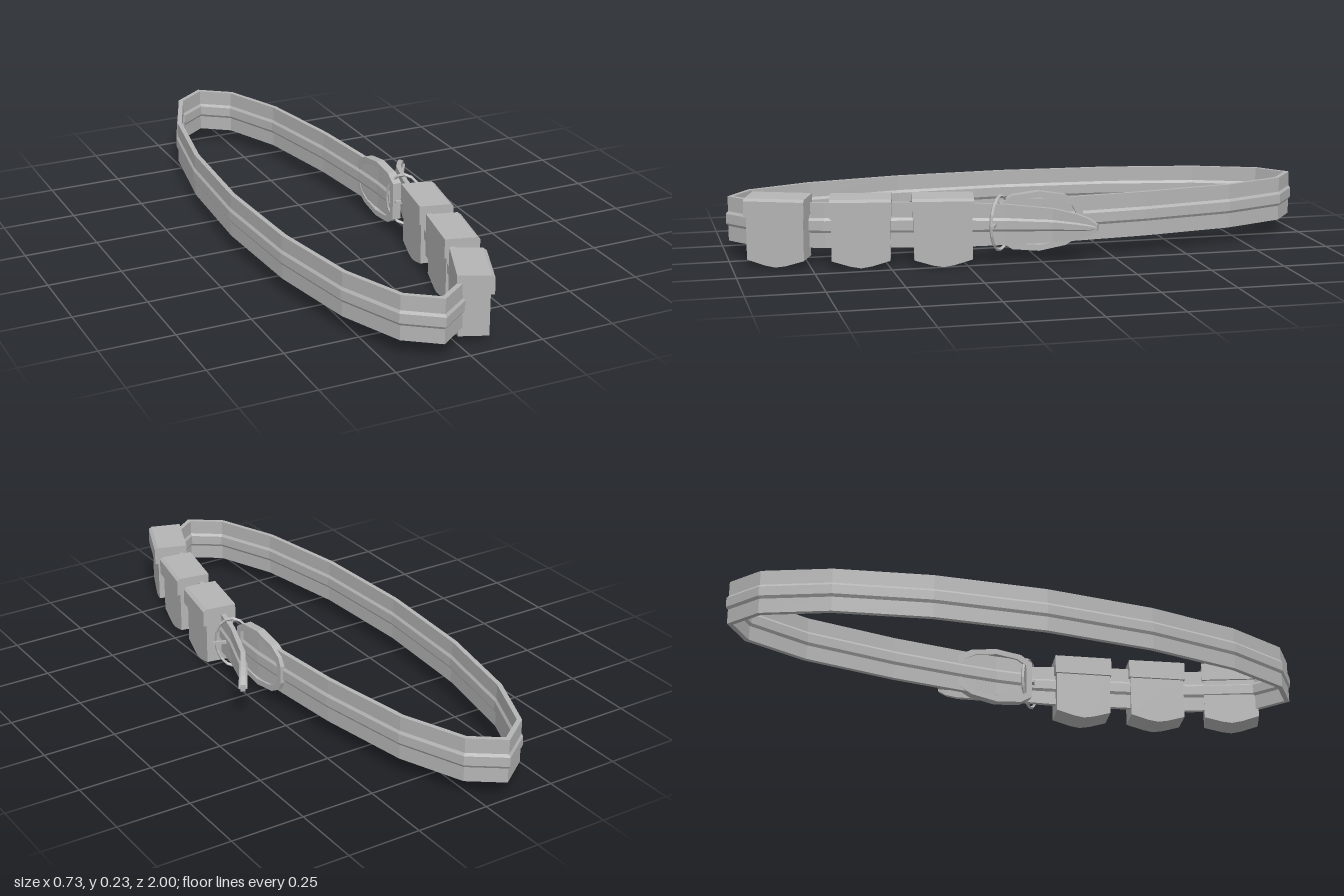
import * as THREE from 'three';

const MID = 0.13; // height of the strap's centre line

// Sweep a (outward, up) section along plan points [x, z, heightScale]
function sweep(path, section) {
  const n = section.length;
  const pos = [];
  const dir = (a, b) => new THREE.Vector2(b[0] - a[0], b[1] - a[1]).normalize();
  const rings = path.map((p, i) => {
    const d0 = dir(path[Math.max(i - 1, 0)], path[Math.max(i, 1)]);
    const last = path.length - 1;
    const d1 = dir(path[Math.min(i, last - 1)], path[Math.min(i + 1, last)]);
    const t = d0.clone().add(d1).normalize();
    const miter = 1 / Math.max(t.dot(d1), 0.5);
    return section.map(([o, y]) => [p[0] - t.y * o * miter, MID + y * p[2], p[1] + t.x * o * miter]);
  });
  for (let i = 0; i < rings.length - 1; i++) {
    for (let j = 0; j < n; j++) {
      const k = (j + 1) % n;
      const a = rings[i][j], b = rings[i][k], c = rings[i + 1][k], d = rings[i + 1][j];
      pos.push(...a, ...d, ...c, ...a, ...c, ...b);
    }
  }
  const cap = (p, ring, flip) => {
    const centre = [p[0], MID, p[1]];
    for (let j = 0; j < n; j++) {
      const a = ring[j], b = ring[(j + 1) % n];
      pos.push(...centre, ...(flip ? b : a), ...(flip ? a : b));
    }
  };
  cap(path[0], rings[0], false);
  cap(path[path.length - 1], rings[rings.length - 1], true);
  const g = new THREE.BufferGeometry();
  g.setAttribute('position', new THREE.Float32BufferAttribute(pos, 3));
  g.computeVertexNormals();
  return g;
}

function polygon(points) {
  return new THREE.Shape(points.map(([x, y]) => new THREE.Vector2(x, y)));
}

export function createModel() {
  const model = new THREE.Group();
  const grey = new THREE.MeshStandardMaterial({ color: 0xb4b4b4, flatShading: true });
  grey.name = 'grey leather';
  const add = (parent, geometry, name) => {
    const mesh = new THREE.Mesh(geometry, grey);
    mesh.name = name;
    parent.add(mesh);
    return mesh;
  };

  // Strap: buckle end, round the oval loop, then the free tongue
  const path = [[0.193, 0.1, 1], [0.195, 0, 1], [0.187, -0.13, 1]];
  for (let k = 1; k <= 14; k++) {
    const t = -k * Math.PI / 8;
    path.push([-0.085 + 0.267 * Math.cos(t), 0.982 * Math.sin(t), 1]);
  }
  path.push(
    [0.155, 0.45, 1], [0.202, 0.25, 0.97], [0.23, 0.12, 0.9], [0.28, -0.03, 0.74],
    [0.322, -0.1, 0.56], [0.343, -0.135, 0.38], [0.357, -0.158, 0.15]
  );
  // Flat band with a raised rib along the middle of both faces
  const half = [[0.008, -0.075], [0.008, -0.025], [0.014, -0.016], [0.014, 0.016], [0.008, 0.025], [0.008, 0.075]];
  const section = [...half, ...half.map(([o, y]) => [-o, -y])];
  add(model, sweep(path, section), 'strap');

  // Buckle frame: tapered octagonal surround
  const buckle = new THREE.Group();
  buckle.name = 'buckle';
  model.add(buckle);
  const upper = [[0.15, 0.03], [0.135, 0.06], [0.09, 0.085], [0, 0.1], [-0.09, 0.09], [-0.13, 0.065]];
  const outline = [...upper, ...upper.map(([u, v]) => [u, -v]).reverse()];
  const frame = polygon(outline);
  frame.holes.push(polygon(outline.map(([u, v]) => [u * 0.84, v * 0.8]).reverse()));
  const frameMesh = add(buckle, new THREE.ExtrudeGeometry(frame, { depth: 0.03, bevelEnabled: false }), 'buckleFrame');
  frameMesh.rotation.y = Math.PI / 2;
  frameMesh.position.set(0.178, MID, 0);

  // Slanted keeper ring and its prong
  const ring = add(buckle, new THREE.TorusGeometry(0.09, 0.006, 4, 16), 'keeperRing');
  ring.scale.x = 0.7;
  ring.rotation.y = -0.73;
  ring.position.set(0.22, 0.134, 0.135);
  const prong = add(buckle, new THREE.BoxGeometry(0.1, 0.01, 0.01), 'prong');
  prong.rotation.y = -0.4;
  prong.position.set(0.232, MID, 0.155);

  // Pouches: pointed-bottom body under a bevelled lid
  const bodyShape = polygon([[-0.095, 0.2], [-0.095, 0.026], [-0.035, 0.008], [0, 0.002], [0.035, 0.008], [0.095, 0.026], [0.095, 0.2]]);
  const body = new THREE.ExtrudeGeometry(bodyShape, { depth: 0.096, bevelEnabled: false });
  body.rotateY(Math.PI / 2).translate(-0.05, 0, 0);
  const lidShape = polygon([[-0.058, 0.167], [0.058, 0.167], [0.058, 0.221], [0.047, 0.229], [-0.058, 0.232]]);
  const lid = new THREE.ExtrudeGeometry(lidShape, { depth: 0.2, bevelEnabled: false });
  lid.translate(0, 0, -0.1);
  const places = [[0.205, 0.323, -0.17], [0.159, 0.585, -0.19], [0.084, 0.845, -0.38]];
  places.forEach(([x, z, turn], i) => {
    const pouch = new THREE.Group();
    pouch.name = 'pouch' + (i + 1);
    pouch.position.set(x, 0, z);
    pouch.rotation.y = turn;
    add(pouch, body, 'pouchBody');
    add(pouch, lid, 'pouchLid');
    model.add(pouch);
  });
  return model;
}
